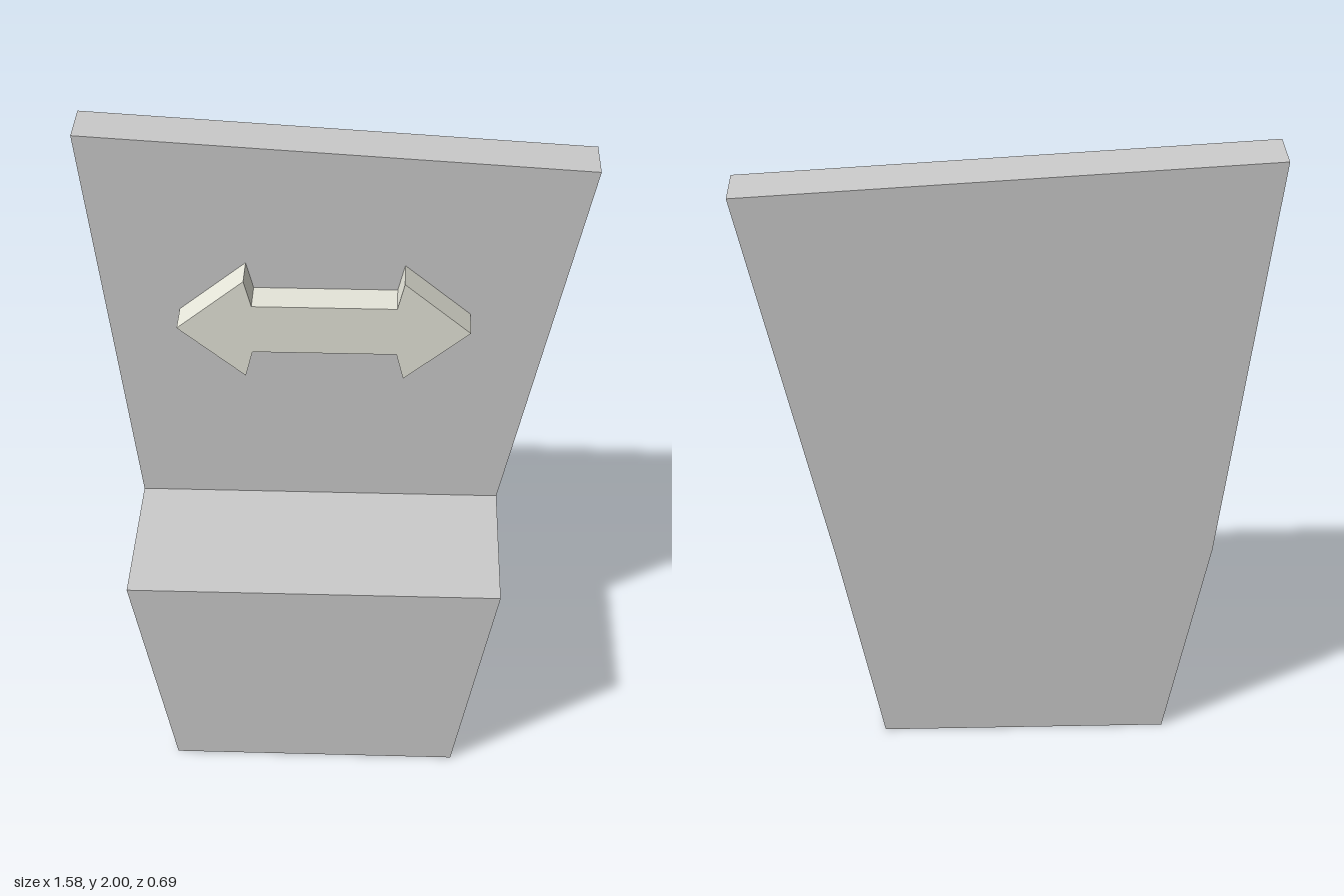
import * as THREE from 'three';

// Extrude a front outline between two depths
function slab(name, points, zBack, zFront, color) {
  const shape = new THREE.Shape(points.map(([x, y]) => new THREE.Vector2(x, y)));
  const geometry = new THREE.ExtrudeGeometry(shape, { depth: zFront - zBack, bevelEnabled: false });
  geometry.translate(0, 0, zBack);
  const mesh = new THREE.Mesh(geometry, new THREE.MeshStandardMaterial({ color }));
  mesh.name = name;
  return mesh;
}

export function createModel() {
  const group = new THREE.Group();
  group.name = 'chair';
  const back = -0.343, panelFront = -0.183, seatFront = 0.343;
  const seatLeft = [0.53, 0.69], seatRight = [-0.638, 0.69];

  // Tapered seat block
  group.add(slab('seat', [[-0.505, 0], [0.395, 0], seatLeft, seatRight], back, seatFront, 0xcccccc));

  // Flaring backrest with a slanted top
  group.add(slab('backrest', [seatRight, seatLeft, [0.788, 1.907], [-0.79, 2]], back, panelFront, 0xcccccc));

  // Double-headed arrow: upper half, mirrored to form the lower half
  const midY = 1.4;
  const upper = [[0.212, 0.172], [0.19, 0.083], [-0.257, 0.083], [-0.28, 0.172]];
  const lower = upper.map(([x, y]) => [x, -y]).reverse();
  const outline = [[0.418, 0], ...upper, [-0.49, 0], ...lower].map(([x, y]) => [x, midY + y]);
  group.add(slab('doubleArrow', outline, panelFront, -0.072, 0xe6e6da));

  return group;
}
